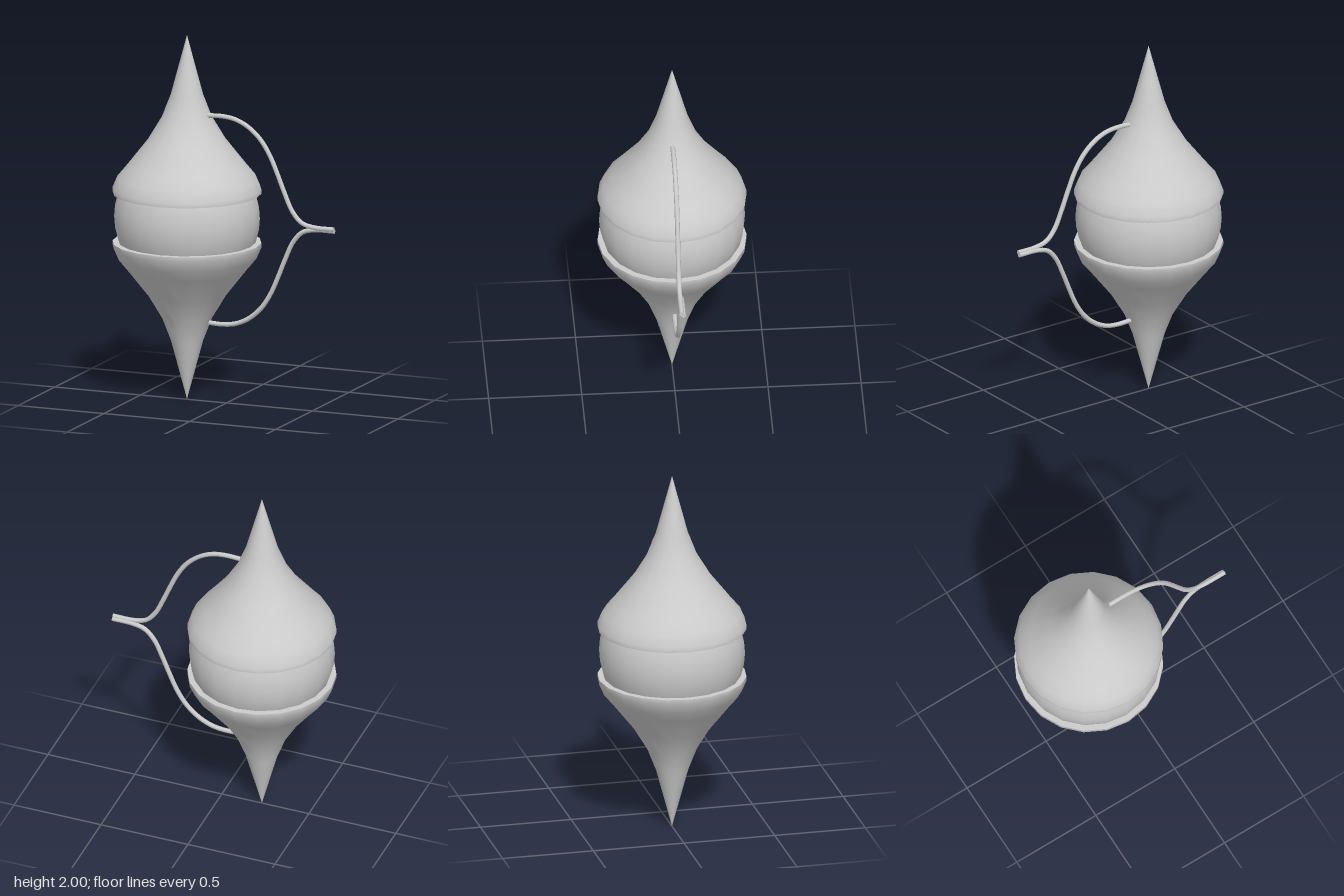
import * as THREE from 'three';

const AXIS_X = -0.23;
const SIDES = 20;
const material = new THREE.MeshStandardMaterial({ color: 0xcccccc, side: THREE.DoubleSide });

function add(parent, name, geometry) {
  const mesh = new THREE.Mesh(geometry, material);
  mesh.name = name;
  parent.add(mesh);
  return mesh;
}

// Pointed bell profile, [radius, height], from rim to tip
const bellProfile = [
  [0.4, 0.135], [0.4, 0.16], [0.374, 0.22], [0.32, 0.285], [0.21, 0.425],
  [0.135, 0.55], [0.087, 0.675], [0, 1],
].map(([r, y]) => new THREE.Vector2(r, y));

// Half of the forked cable, [x, height above the middle]
const cablePath = [
  [-0.105, 0.569], [-0.03, 0.572], [0.05, 0.562], [0.127, 0.527], [0.2, 0.463],
  [0.255, 0.38], [0.3, 0.28], [0.34, 0.183], [0.386, 0.085], [0.44, 0.027],
  [0.51, 0.008], [0.627, 0.006],
];

function buildHalf(name, sign) {
  const half = new THREE.Group();
  half.name = name;
  const bell = new THREE.Group();
  bell.name = name + 'Bell';
  bell.position.x = AXIS_X;
  // the lower bell is the upper one turned over
  if (sign < 0) bell.rotation.x = Math.PI;
  add(bell, name + 'Shell', new THREE.LatheGeometry(bellProfile, SIDES));

  // flat rim closing the gap between shell and ball
  const rim = add(bell, name + 'Rim', new THREE.RingGeometry(0.355, 0.4, SIDES));
  rim.rotation.x = Math.PI / 2;
  rim.position.y = 0.135;
  half.add(bell);

  // cable strand with closed ends
  const curve = new THREE.CatmullRomCurve3(
    cablePath.map(([x, y]) => new THREE.Vector3(x, sign * y, sign * 0.005)));
  add(half, name + 'Cable', new THREE.TubeGeometry(curve, 48, 0.013, 8));
  for (const t of [0, 1]) {
    const cap = add(half, name + 'CableEnd', new THREE.CircleGeometry(0.013, 8));
    cap.position.copy(curve.getPointAt(t));
    const outward = curve.getTangentAt(t).multiplyScalar(t ? 1 : -1);
    cap.quaternion.setFromUnitVectors(new THREE.Vector3(0, 0, 1), outward);
  }
  return half;
}

export function createModel() {
  const model = new THREE.Group();
  model.name = 'spindle';
  const body = new THREE.Group();
  body.name = 'body';
  body.position.y = 1;

  // central ball between the two bells
  add(body, 'ball', new THREE.SphereGeometry(0.392, SIDES, 20)).position.x = AXIS_X;
  body.add(buildHalf('upper', 1), buildHalf('lower', -1));

  model.add(body);
  return model;
}
